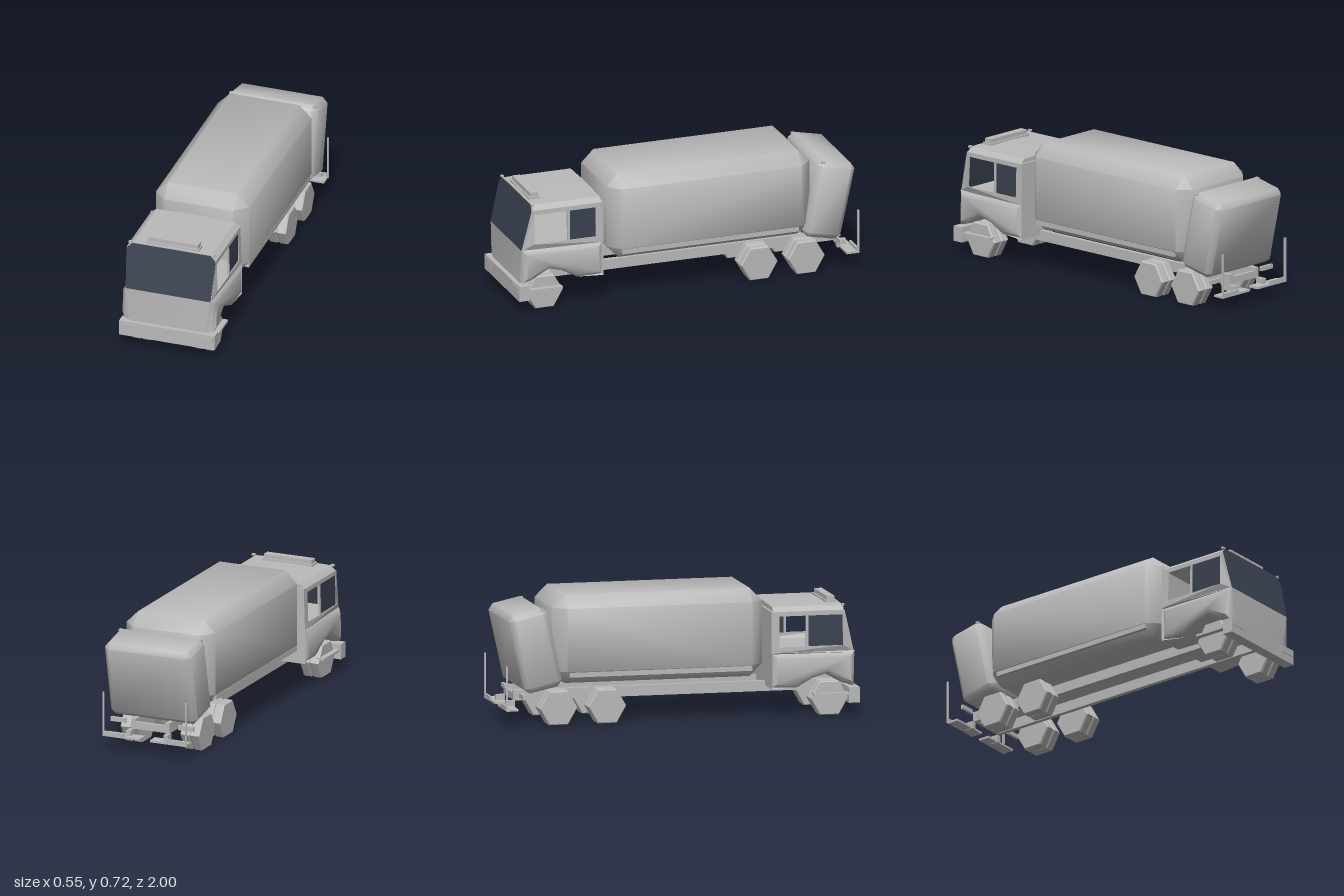
import * as THREE from 'three';
import { toCreasedNormals } from 'three/addons/utils/BufferGeometryUtils.js';
import { ConvexGeometry } from 'three/addons/geometries/ConvexGeometry.js';

const paint = new THREE.MeshStandardMaterial({ color: 0xbababa });
paint.name = 'grey paint';
const glass = new THREE.MeshStandardMaterial({ color: 0x3a4150, side: THREE.DoubleSide });
glass.name = 'dark glass';

export function createModel() {
  const model = new THREE.Group();
  model.name = 'refuseTruck';

  const add = (name, geometry, material = paint) => {
    const mesh = new THREE.Mesh(geometry, material);
    mesh.name = name;
    model.add(mesh);
    return mesh;
  };
  // box given by its limits on each axis
  const box = (name, x0, x1, y0, y1, z0, z1, material) => {
    const mesh = add(name, new THREE.BoxGeometry(x1 - x0, y1 - y0, z1 - z0), material);
    mesh.position.set((x0 + x1) / 2, (y0 + y1) / 2, (z0 + z1) / 2);
    return mesh;
  };
  // same box on both sides
  const pair = (name, x0, x1, ...rest) => {
    box(name + 'Left', x0, x1, ...rest);
    box(name + 'Right', -x1, -x0, ...rest);
  };
  // box with all edges cut by c
  const chamferedBox = (w, h, d, c) => {
    const points = [];
    for (const sx of [-1, 1]) for (const sy of [-1, 1]) for (const sz of [-1, 1]) {
      const [x, y, z] = [sx * w / 2, sy * h / 2, sz * d / 2];
      const [i, j, k] = [x - sx * c, y - sy * c, z - sz * c];
      points.push(new THREE.Vector3(x, j, k), new THREE.Vector3(i, y, k), new THREE.Vector3(i, j, z));
    }
    return toCreasedNormals(new ConvexGeometry(points), 0.85);
  };
  const outline = (pts) => pts.map(([a, b]) => new THREE.Vector2(a, b));
  // move every vertex by a rule
  const warp = (geometry, rule) => {
    const p = geometry.attributes.position;
    const v = new THREE.Vector3();
    for (let i = 0; i < p.count; i++) {
      rule(v.fromBufferAttribute(p, i));
      p.setXYZ(i, v.x, v.y, v.z);
    }
    geometry.computeVertexNormals();
    return geometry;
  };

  // container and tilted tailgate
  add('container', chamferedBox(0.54, 0.49, 1.185, 0.07)).position.set(0, 0.473, -0.132);
  pair('containerRail', 0.245, 0.268, 0.267, 0.293, -0.64, 0.39);
  const tailgate = add('tailgate', chamferedBox(0.526, 0.445, 0.222, 0.03));
  tailgate.position.set(0, 0.417, -0.826);
  tailgate.rotation.x = -0.215;
  pair('tailgateLamp', 0.23, 0.25, 0.636, 0.648, -0.8, -0.78);

  // lower cab: side profile with wheel arch, rounded outwards
  const lowerShape = new THREE.Shape(outline([
    [0.5, 0.16], [0.65, 0.157], [0.735, 0.205], [0.815, 0.228], [0.9, 0.18], [0.972, 0.157],
    [0.972, 0.357], [0.5, 0.36],
  ]));
  const lower = new THREE.ExtrudeGeometry(lowerShape, {
    depth: 0.43, bevelThickness: 0.057, bevelSize: 0.03, bevelOffset: -0.03, bevelSegments: 2,
  });
  lower.rotateY(-Math.PI / 2).translate(0.215, 0, 0);
  warp(lower, (v) => {
    if (v.y > 0.354) v.x = Math.sign(v.x) * (v.z > 0.9 ? 0.247 : 0.265);
    else if (v.z < 0.505) v.x = Math.sign(v.x) * 0.265;
  });
  add('lowerCab', toCreasedNormals(lower, 0.7));

  // upper cab sides with window openings
  const windows = { front: [0.71, 0.905], rear: [0.545, 0.695] };
  for (const s of [1, -1]) {
    const sideShape = new THREE.Shape(outline([[0.5, 0.355], [0.968, 0.355], [0.914, 0.585], [0.51, 0.585]]));
    for (const [a, b] of Object.values(windows)) {
      sideShape.holes.push(new THREE.Path(outline([[a, 0.39], [a, 0.56], [b - (b > 0.9 ? 0.004 : 0), 0.56], [b, 0.39]])));
    }
    const side = new THREE.ExtrudeGeometry(sideShape, { depth: 0.012, bevelEnabled: false });
    side.rotateY(-Math.PI / 2);
    warp(side, (v) => {
      const reach = v.z > 0.908 ? 0.246 + 0.055 * (v.y - 0.355) : 0.265 - 0.03 * (v.y - 0.355);
      v.x += s > 0 ? reach : 0.012 - reach;
    });
    add(s > 0 ? 'cabSideLeft' : 'cabSideRight', side);
  }
  box('rearWindowLeft', 0.252, 0.258, 0.39, 0.56, ...windows.rear, glass);
  box('frontWindowRight', -0.258, -0.252, 0.39, 0.56, ...windows.front, glass);

  // roof, rear wall and windscreen
  const roofShape = new THREE.Shape(outline([
    [-0.258, 0.583], [0.258, 0.583], [0.228, 0.61], [0, 0.617], [-0.228, 0.61],
  ]));
  const roof = new THREE.ExtrudeGeometry(roofShape, { depth: 0.398, bevelEnabled: false });
  add('cabRoof', roof.translate(0, 0, 0.512));
  box('cabRearWall', -0.26, 0.26, 0.355, 0.588, 0.5, 0.512);
  const screenShape = new THREE.Shape(outline([
    [-0.246, 0.355], [0.246, 0.355], [0.259, 0.58], [0.226, 0.611], [-0.226, 0.611], [-0.259, 0.58],
  ]));
  add('windscreen', warp(new THREE.ShapeGeometry(screenShape), (v) => {
    v.z = 0.973 - 0.235 * (v.y - 0.355);
  }), glass);

  // roof beacon and marker lamps
  box('beaconBase', -0.152, 0.152, 0.608, 0.624, 0.83, 0.895);
  box('beacon', -0.145, 0.145, 0.622, 0.647, 0.84, 0.885);
  pair('markerLamp', 0.23, 0.25, 0.607, 0.618, 0.9, 0.915);

  // bumper, headlights, steps
  box('bumper', -0.277, 0.277, 0.07, 0.156, 0.935, 0.996);
  pair('headlight', 0.168, 0.265, 0.116, 0.145, 0.992, 1.0);
  pair('cabStep', 0.22, 0.268, 0.113, 0.126, 0.74, 0.94);

  // chassis
  pair('chassisRail', 0.09, 0.115, 0.128, 0.186, -0.92, 0.95);

  // six-sided wheels in pairs
  const h = 0.0285;
  const wheelGeometry = toCreasedNormals(new THREE.LatheGeometry(outline([
    [0, -h], [0.102, -h], [0.108, -h * 0.7], [0.108, h * 0.7], [0.102, h], [0, h],
  ]), 6).rotateZ(Math.PI / 2), 0.2);
  for (const z of [0.834, -0.42, -0.695]) {
    for (const x of [0.152, 0.21]) {
      for (const s of [1, -1]) add('wheel', wheelGeometry).position.set(s * x, 0.095, z);
    }
  }

  // rear step, lamp boards and marker posts
  pair('rearStep', 0.03, 0.25, 0.088, 0.1, -0.99, -0.925);
  pair('rearStepBracket', 0.1, 0.125, 0.085, 0.13, -0.965, -0.915);
  pair('rearLampBoard', 0.125, 0.245, 0.1, 0.118, -0.996, -0.984);
  pair('rearReflector', 0.16, 0.25, 0.15, 0.175, -0.9, -0.885);
  pair('rearPost', 0.245, 0.255, 0.09, 0.34, -0.996, -0.986);
  box('rearCrossMember', -0.115, 0.115, 0.13, 0.17, -0.92, -0.9);

  return model;
}
